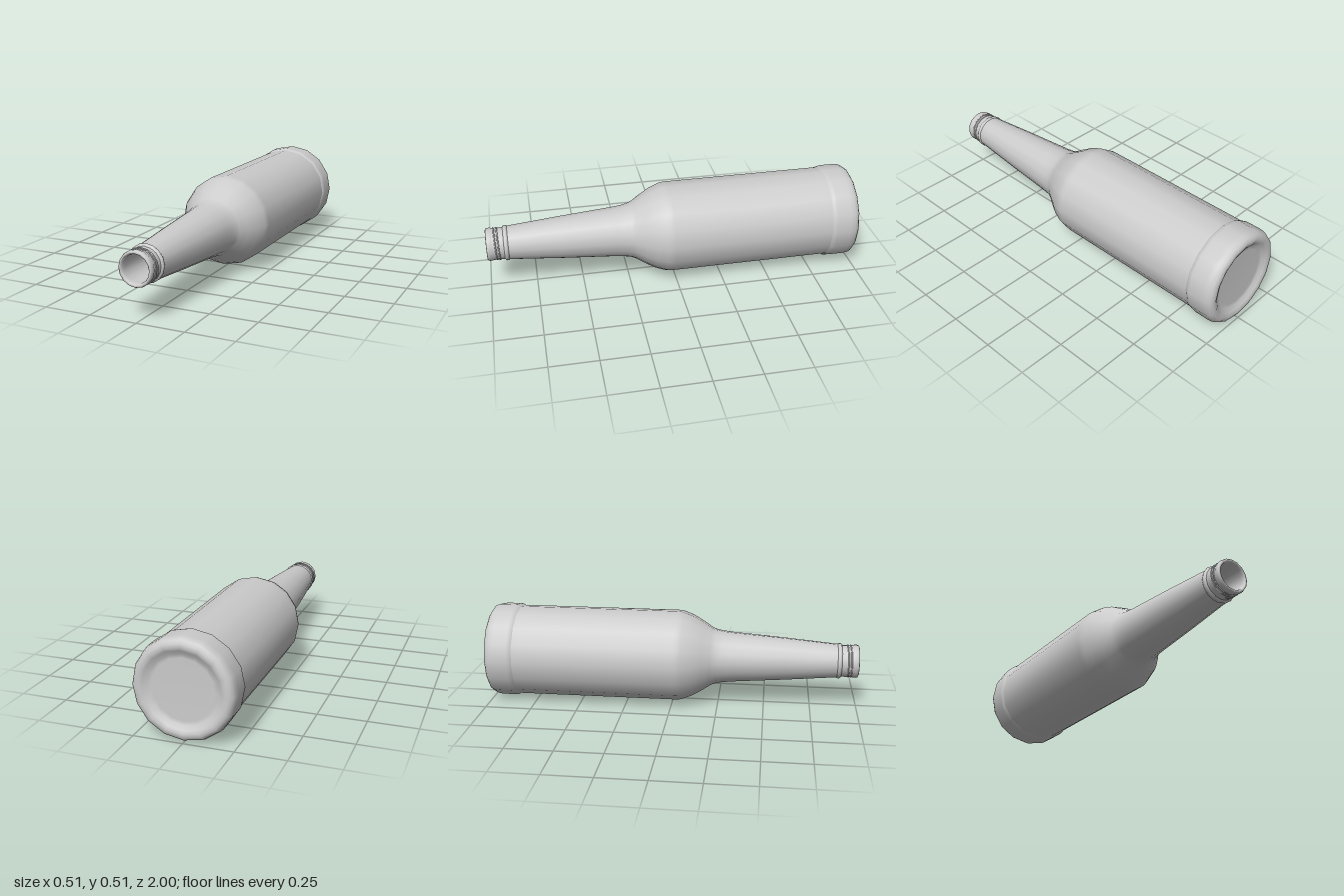
import * as THREE from 'three';

const SIDES = 16;
const RADIUS = 0.256;

export function createModel() {
  const model = new THREE.Group();
  model.name = 'bottle';
  const material = new THREE.MeshStandardMaterial({ color: 0xcccccc });

  // Parts are built upright along y, then the bottle is laid down with its mouth towards +z.
  const bottle = new THREE.Group();
  bottle.name = 'lyingBottle';
  bottle.rotation.x = Math.PI / 2;
  bottle.position.y = RADIUS;
  model.add(bottle);

  const add = (name, geometry) => {
    const mesh = new THREE.Mesh(geometry, material);
    mesh.name = name;
    bottle.add(mesh);
  };
  // Each point is [radius, position along the bottle].
  const lathe = (points) =>
    new THREE.LatheGeometry(points.map(([r, y]) => new THREE.Vector2(r, y)), SIDES);

  // Dished base with a rounded rim and a raised heel band
  add('base', lathe([
    [0, -0.975], [0.155, -0.975], [0.175, -0.979], [0.195, -0.993], [0.212, -1],
    [0.23, -0.998], [0.245, -0.988], [0.253, -0.97], [RADIUS, -0.945],
    [RADIUS, -0.87], [0.254, -0.856], [0.247, -0.845],
  ]));

  // Straight body, rounded shoulder and long tapering neck
  add('bodyAndNeck', lathe([
    [0.247, -0.845], [0.247, -0.82], [0.247, 0.02], [0.246, 0.04], [0.241, 0.06],
    [0.222, 0.11], [0.19, 0.165], [0.16, 0.21], [0.149, 0.235], [0.142, 0.27],
    [0.136, 0.32], [0.115, 0.6], [0.092, 0.87], [0.09, 0.895],
  ]));

  // Collar below the thread
  add('collar', lathe([
    [0.088, 0.884], [0.093, 0.887], [0.096, 0.893], [0.096, 0.899], [0.093, 0.905], [0.086, 0.909],
  ]));

  // Mouth with a rounded lip and an open bore
  add('mouth', lathe([
    [0.09, 0.895], [0.086, 0.91], [0.086, 0.968], [0.089, 0.974], [0.089, 0.988],
    [0.086, 0.997], [0.08, 1], [0.074, 0.997], [0.07, 0.986], [0.07, 0.97],
    [0.07, 0.75], [0.069, 0.745], [0, 0.745],
  ]));

  // Screw thread: a helix just proud of the mouth
  const turns = 2;
  const helix = [];
  for (let i = 0; i <= turns * SIDES; i++) {
    const a = (i / SIDES) * Math.PI * 2;
    const y = 0.932 + 0.016 * (i / SIDES);
    helix.push(new THREE.Vector3(0.086 * Math.sin(a), y, 0.086 * Math.cos(a)));
  }
  add('thread', new THREE.TubeGeometry(new THREE.CatmullRomCurve3(helix), turns * SIDES, 0.004, 6));

  return model;
}
